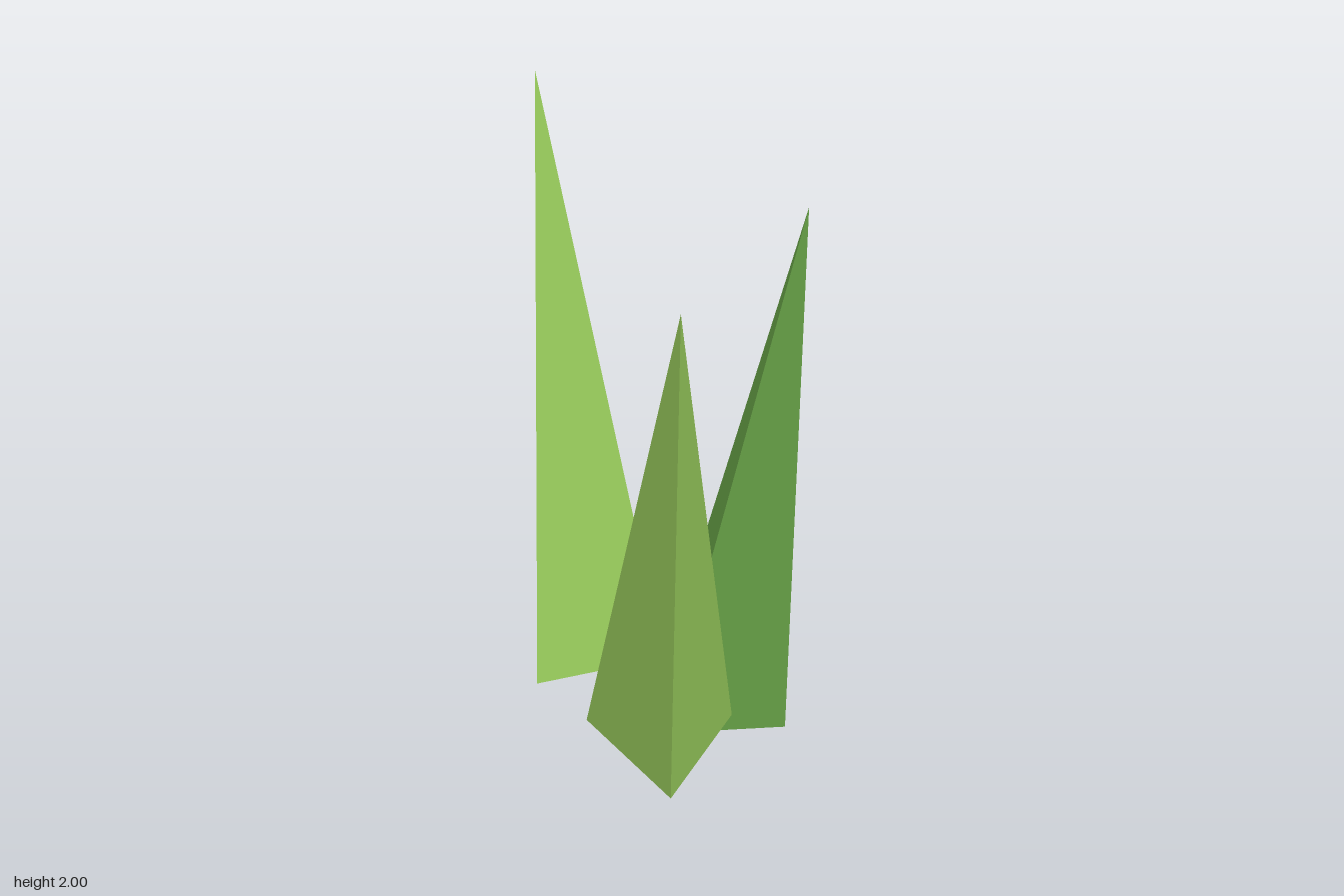
import * as THREE from 'three';

// Three-sided spike: base corners run counter-clockwise seen from above
function spikeGeometry(tip, [a, b, c]) {
  const faces = [a, b, tip, b, c, tip, c, a, tip, a, c, b];
  const geometry = new THREE.BufferGeometry();
  geometry.setAttribute('position', new THREE.Float32BufferAttribute(faces.flat(), 3));
  geometry.computeVertexNormals(); // unshared corners give flat faces
  return geometry;
}

export function createModel() {
  const group = new THREE.Group();
  group.name = 'grassTuft';

  const lightGreen = new THREE.MeshStandardMaterial({ color: 0x96c85a });
  lightGreen.name = 'light grass green';
  const deepGreen = new THREE.MeshStandardMaterial({ color: 0x66a046 });
  deepGreen.name = 'deep grass green';

  const blades = [
    // leans towards the front
    ['frontBlade', lightGreen, [-0.143, 1.77, 0.785],
      [[-0.12, 0.005, 0.475], [0.14, 0.13, 0.113], [-0.318, 0.13, 0.076]]],
    // leans to the left
    ['middleBlade', deepGreen, [0.403, 1.8, 0.028],
      [[0.327, 0.04, 0.02], [-0.024, 0.117, -0.272], [-0.093, 0.11, 0.182]]],
    // leans towards the back, tallest
    ['backBlade', lightGreen, [-0.33, 2, -0.785],
      [[-0.317, 0.05, -0.75], [-0.408, 0.11, -0.306], [0.026, 0.11, -0.455]]],
  ];

  for (const [name, material, tip, base] of blades) {
    const blade = new THREE.Mesh(spikeGeometry(tip, base), material);
    blade.name = name;
    group.add(blade);
  }
  return group;
}
